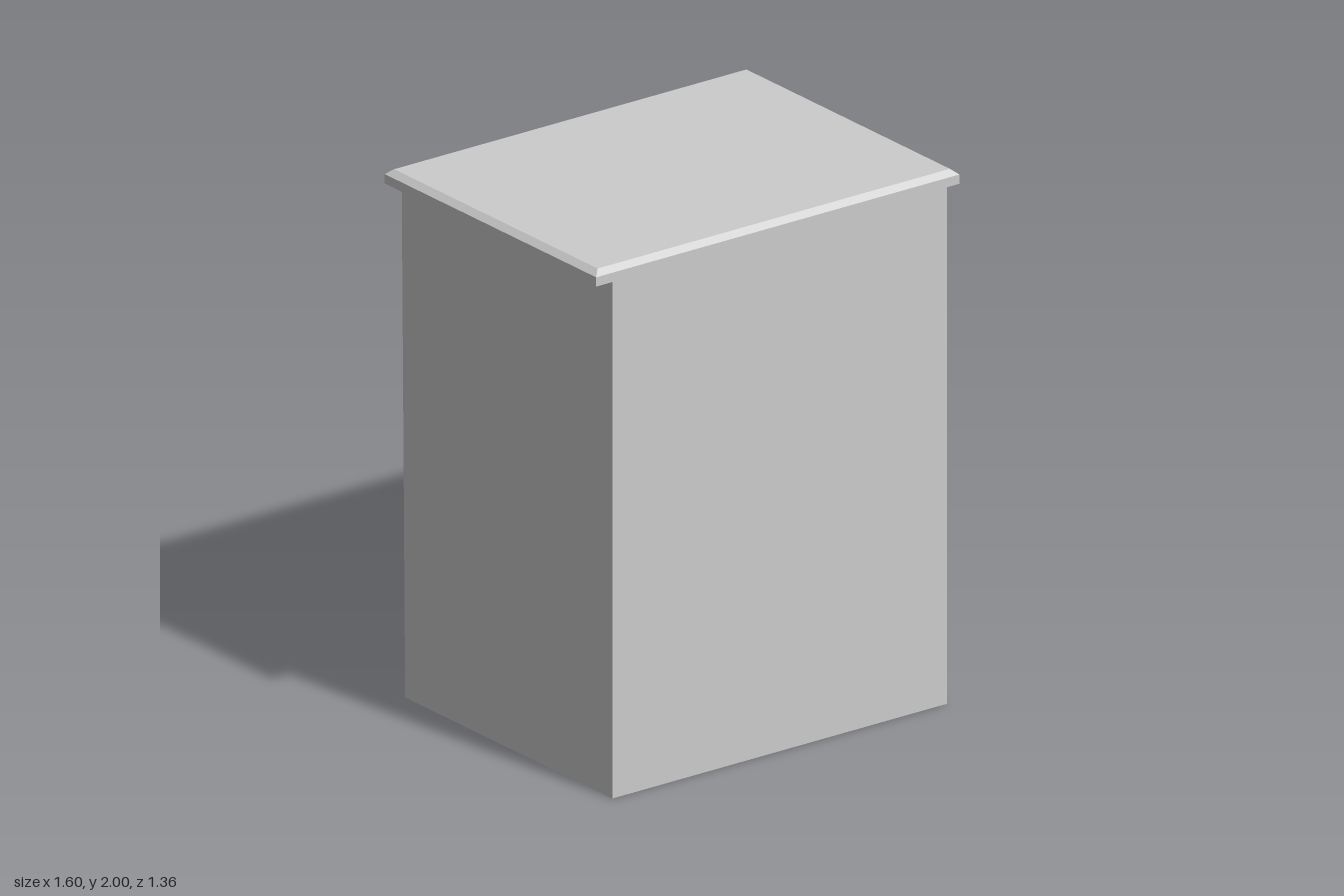
import * as THREE from 'three';

const material = new THREE.MeshStandardMaterial({ color: 0xcccccc, flatShading: true, side: THREE.DoubleSide });

function add(parent, name, geometry) {
  const mesh = new THREE.Mesh(geometry, material);
  mesh.name = name;
  parent.add(mesh);
  return mesh;
}

// Box given by its minimum and maximum corners
function box([x0, y0, z0], [x1, y1, z1], rows = 1) {
  return new THREE.BoxGeometry(x1 - x0, y1 - y0, z1 - z0, 1, rows, 1)
    .translate((x0 + x1) / 2, (y0 + y1) / 2, (z0 + z1) / 2);
}

export function createModel() {
  const group = new THREE.Group();
  group.name = 'bedsideCabinet';

  // Thin carcass walls, open below; the door side leans out slightly toward the top
  const shell = new THREE.CylinderGeometry(Math.SQRT1_2, Math.SQRT1_2, 1.945, 4, 1, true, Math.PI / 4);
  const p = shell.attributes.position;
  for (let i = 0; i < p.count; i++) {
    const x = p.getX(i) > 0 ? 0.743 : -0.727;
    const doorSide = p.getY(i) > 0 ? -0.535 : -0.515;
    p.setXYZ(i, x, p.getY(i) + 0.9725, p.getZ(i) > 0 ? 0.68 : doorSide);
  }
  shell.computeVertexNormals();
  add(group, 'carcass', shell);

  // Floor panel recessed above the bottom edge
  const floor = new THREE.PlaneGeometry(1.47, 1.196).rotateX(Math.PI / 2).translate(0.008, 0.11, 0.082);
  add(group, 'floorPanel', floor);

  // Overhanging top with a bevelled upper rim
  const top = box([-0.798, 1.945, -0.54], [0.798, 2, 0.68], 2);
  const t = top.attributes.position;
  for (let i = 0; i < t.count; i++) {
    if (t.getY(i) > 1.99) {
      t.setX(i, t.getX(i) - Math.sign(t.getX(i)) * 0.024);
      t.setZ(i, t.getZ(i) - Math.sign(t.getZ(i)) * 0.023);
    } else if (t.getY(i) > 1.96) {
      t.setY(i, 1.98);
    }
  }
  top.computeVertexNormals();
  add(group, 'top', top);

  // Door: a shallow shell, open underneath and against the carcass
  const door = box([-0.673, 0.05, -0.573], [0.696, 1.895, -0.516]);
  const faces = Array.from(door.index.array);
  door.setIndex([...faces.slice(0, 18), ...faces.slice(30)]);
  door.clearGroups();
  add(group, 'door', door);

  // Two hinges on the door's left edge
  for (const y of [0.294, 1.505]) {
    add(group, 'hinge', box([0.69, y, -0.548], [0.723, y + 0.252, -0.516]));
  }

  // Faceted turned knob
  const profile = [[0.055, 0], [0.055, 0.025], [0.04, 0.048], [0.062, 0.077], [0.054, 0.091], [0.032, 0.107], [0, 0.109]]
    .map(([r, h]) => new THREE.Vector2(r, h));
  const knob = add(group, 'knob', new THREE.LatheGeometry(profile, 10, Math.PI / 2));
  knob.rotation.x = -Math.PI / 2;
  knob.position.set(-0.529, 1.69, -0.573);

  return group;
}
